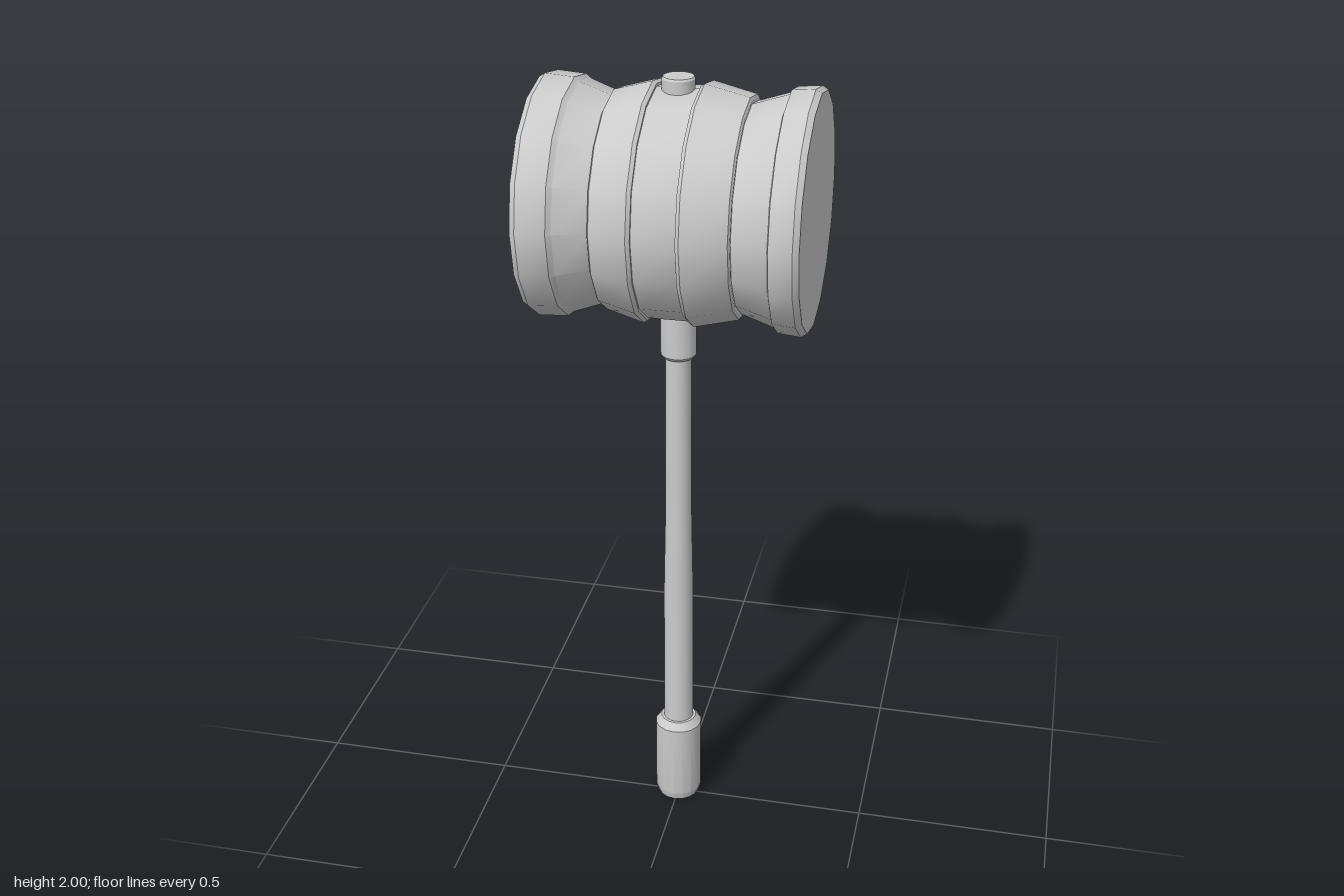
import * as THREE from 'three';
import { toCreasedNormals } from 'three/addons/utils/BufferGeometryUtils.js';

const material = new THREE.MeshStandardMaterial({ color: 0xcccccc });

// Turned part: profile of [radius, height] pairs, bottom to top, closed on the axis
function turned(name, profile, sides = 16) {
  const points = [[0, profile[0][1]], ...profile, [0, profile.at(-1)[1]]];
  const lathe = new THREE.LatheGeometry(points.map(([r, h]) => new THREE.Vector2(r, h)), sides);
  const mesh = new THREE.Mesh(toCreasedNormals(lathe, 0.42), material);
  mesh.name = name;
  return mesh;
}

export function createModel() {
  const model = new THREE.Group();
  model.name = 'mallet';

  // Head: turned along x from flared ends, two raised bands and a centre drum
  const head = new THREE.Group();
  head.name = 'head';
  head.add(
    turned('rightEnd', [[0.279, -0.327], [0.288, -0.313], [0.283, -0.243], [0.273, -0.232], [0.245, -0.154]]),
    turned('rightBand', [[0.253, -0.155], [0.26, -0.151], [0.285, -0.06], [0.279, -0.051]]),
    turned('centreDrum', [[0.273, -0.055], [0.273, 0.055]]),
    turned('leftBand', [[0.279, 0.051], [0.285, 0.06], [0.26, 0.165], [0.253, 0.169]]),
    turned('leftEnd', [[0.245, 0.168], [0.273, 0.255], [0.283, 0.258], [0.288, 0.313], [0.279, 0.327]])
  );
  head.rotation.z = -Math.PI / 2;
  head.position.y = 1.7;
  model.add(head);

  // Handle: rounded grip, tapered shaft, collar under the head and peg through its top
  model.add(
    turned('grip', [[0.042, 0], [0.054, 0.008], [0.061, 0.03], [0.061, 0.235], [0.046, 0.255]]),
    turned('shaft', [[0.039, 0.24], [0.038, 0.66], [0.034, 0.87], [0.032, 1.33]]),
    turned('collar', [[0.038, 1.31], [0.044, 1.318], [0.044, 1.46]]),
    turned('peg', [[0.039, 1.93], [0.039, 1.995], [0.036, 2]])
  );
  return model;
}
